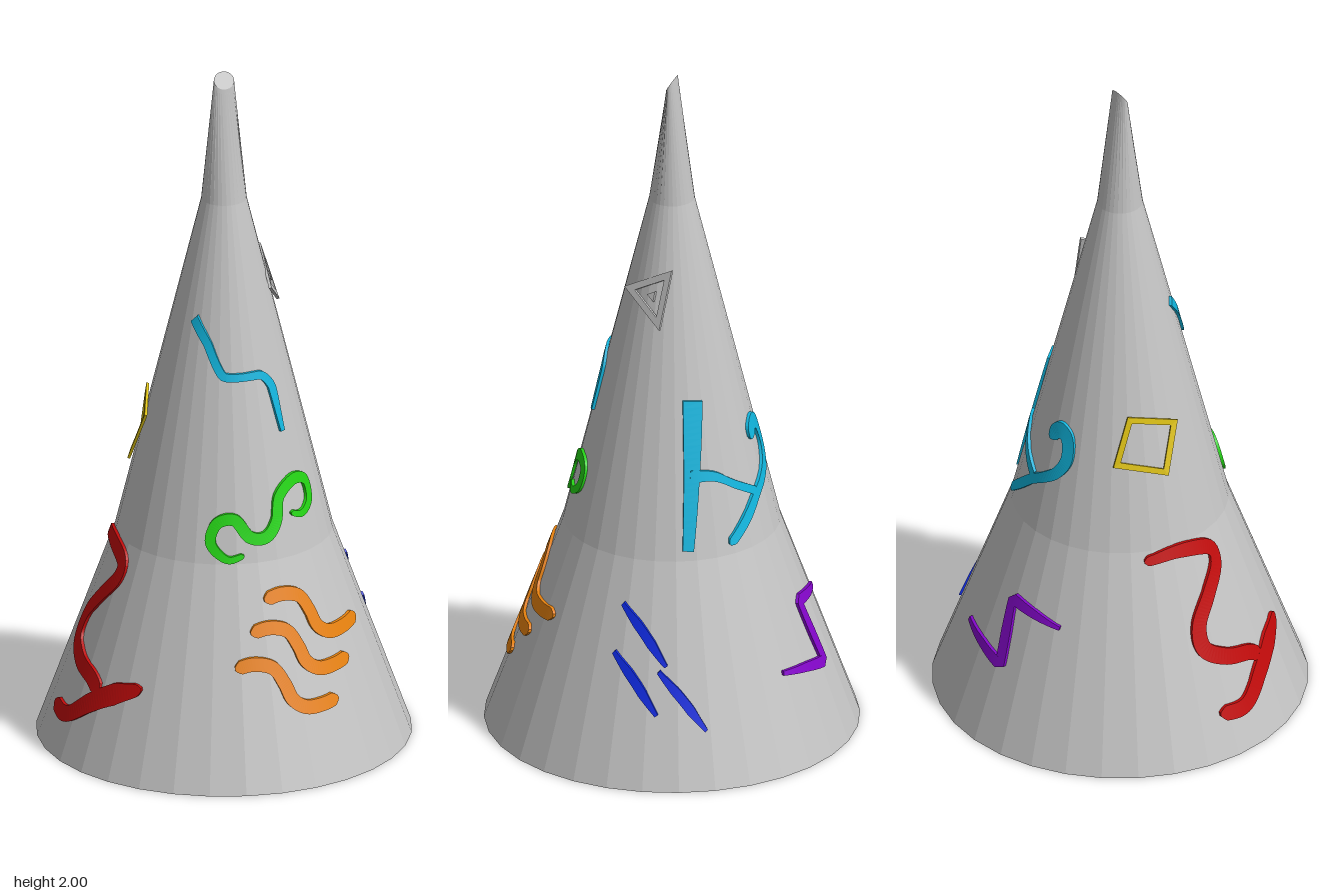
import * as THREE from 'three';

const mat = (name, color) => {
  const m = new THREE.MeshStandardMaterial({ color, flatShading: true });
  m.name = name;
  return m;
};

// Cone profile: [radius, height]
const PROFILE = [[0.535, 0], [0.31, 0.62], [0.065, 1.62], [0.03, 1.978]];
const radiusAt = (y) => {
  for (let i = 1; i < PROFILE.length; i++) {
    const [r0, y0] = PROFILE[i - 1], [r1, y1] = PROFILE[i];
    if (y <= y1) return r0 + (r1 - r0) * (y - y0) / (y1 - y0);
  }
  return 0.03;
};

const deg = Math.PI / 180;
const onCone = (angle, y, lift) => {
  const r = radiusAt(y) + lift;
  return [r * Math.sin(angle), y, r * Math.cos(angle)];
};
// Turns points seen straight on from one side into [degrees, height]
const facing = (centre, pts) => pts.map(([u, y]) =>
  [centre + Math.asin(THREE.MathUtils.clamp(u / (radiusAt(y) + 0.008), -1, 1)) / deg, y]);

// Painted stroke wrapped on the cone; pts are [degrees, height], widths run along the stroke
function stroke(pts, widths, { tension = 0.5, round = true } = {}) {
  const R = radiusAt(pts.reduce((s, p) => s + p[1], 0) / pts.length);
  const path = new THREE.CatmullRomCurve3(
    pts.map(([a, y]) => new THREE.Vector3(a * deg * R, y, 0)), false, 'catmullrom', tension);
  const n = pts.length * 8, length = path.getLength(), pos = [], idx = [];
  for (let i = 0; i <= n; i++) {
    const t = i / n, p = path.getPointAt(t), d = path.getTangentAt(t);
    const f = t * (widths.length - 1), k = Math.min(Math.floor(f), widths.length - 2);
    let h = THREE.MathUtils.lerp(widths[k], widths[k + 1], f - k) / 2;
    if (round) h *= Math.max(0.25, Math.min(1, Math.sqrt(Math.min(t, 1 - t) * length / h)));
    for (const [side, lift] of [[1, 0.008], [-1, 0.008], [-1, -0.001], [1, -0.001]])
      pos.push(...onCone((p.x - d.y * h * side) / R, p.y + d.x * h * side, lift));
    if (i < n) for (let j = 0; j < 4; j++) {
      const a = i * 4 + j, b = i * 4 + (j + 1) % 4;
      idx.push(a, b, b + 4, a, b + 4, a + 4);
    }
  }
  const e = n * 4;
  idx.push(0, 3, 2, 0, 2, 1, e, e + 1, e + 2, e, e + 2, e + 3);
  return buffer(pos, idx);
}

function buffer(pos, idx) {
  const g = new THREE.BufferGeometry();
  g.setAttribute('position', new THREE.Float32BufferAttribute(pos, 3));
  g.setIndex(idx);
  g.computeVertexNormals();
  return g;
}

// Flat polygon frame; corners run counter-clockwise seen from outside
function frame(corners, inner, outer = 1, depth = 0.008) {
  const v = corners.map((c) => new THREE.Vector3(...c)), n = v.length;
  const mid = v.reduce((s, p) => s.add(p), new THREE.Vector3()).divideScalar(n);
  const normal = v[1].clone().sub(v[0]).cross(v[2].clone().sub(v[0])).normalize();
  const pos = [], idx = [];
  // rings: front outer, front inner, back inner, back outer
  for (const [s, back] of [[outer, 0], [inner, 0], [inner, 1], [outer, 1]])
    for (const p of v)
      pos.push(...mid.clone().lerp(p, s).addScaledVector(normal, -depth * back).toArray());
  for (let k = 0; k < 4; k++) for (let i = 0; i < n; i++) {
    const j = (i + 1) % n, q = ((k + 1) % 4) * n;
    idx.push(k * n + i, k * n + j, q + j, k * n + i, q + j, q + i);
  }
  return buffer(pos, idx);
}

export function createModel() {
  const model = new THREE.Group();
  const grey = mat('grey', 0xc4c4c4), cyan = mat('cyan', 0x10b4dc), green = mat('green', 0x24d414);
  const orange = mat('orange', 0xe8820e), blue = mat('blue', 0x0c28dc), purple = mat('purple', 0x8206c8);
  const red = mat('red', 0xc00a0a), yellow = mat('yellow', 0xdcc014);
  const add = (name, geometry, material) => {
    const m = new THREE.Mesh(geometry, material);
    m.name = name;
    model.add(m);
  };

  // Cone with a slanted, squashed tip
  const cone = new THREE.LatheGeometry(
    [[0, 0], ...PROFILE, [0, 1.978]].map(([x, y]) => new THREE.Vector2(x, y)), 32);
  const p = cone.attributes.position;
  for (let i = 0; i < p.count; i++) if (p.getY(i) > 1.9) {
    const z = p.getZ(i) * 0.45;
    p.setZ(i, z);
    p.setY(i, p.getY(i) - 1.65 * z);
  }
  cone.computeVertexNormals();
  add('cone', cone, grey);

  // Front: bent line, curl and three waves
  add('bentLine', stroke(facing(0, [[-0.12, 1.3], [-0.095, 1.235], [-0.06, 1.145], [0.05, 1.14],
    [0.085, 1.1], [0.11, 0.97]]), [0.03, 0.025, 0.022, 0.025, 0.012], { tension: 0.25, round: false }), cyan);
  add('curl', stroke(facing(0, [[-0.04, 0.645], [-0.09, 0.635], [-0.13, 0.68], [-0.11, 0.735], [-0.06, 0.745],
    [-0.02, 0.695], [0.03, 0.69], [0.065, 0.73], [0.08, 0.795], [0.13, 0.83], [0.175, 0.815], [0.185, 0.76],
    [0.155, 0.73], [0.115, 0.74]]), [0.015, 0.03, 0.034, 0.034, 0.034, 0.03, 0.015]), green);
  for (const [dx, dy] of [[0, 0], [-0.05, -0.085], [-0.105, -0.178]])
    add('wave', stroke(facing(0, [[0.005, 0.52], [0.06, 0.53], [0.115, 0.515], [0.145, 0.47], [0.165, 0.425],
      [0.205, 0.398], [0.26, 0.395], [0.312, 0.402]].map(([x, y]) => [x + dx, y + dy])), [0.036, 0.04, 0.036]), orange);

  // Right side: three slanted dashes
  for (const [u, y] of [[-0.015, 0.5], [-0.025, 0.368], [0.112, 0.325]])
    add('dash', stroke(facing(90, [[u, y], [u + 0.072, y - 0.073], [u + 0.145, y - 0.16]]),
      [0.012, 0.026, 0.026, 0.01], { round: false }), blue);

  // Rear right: tapered bar with a branching hook
  add('bar', stroke([[127, 1.07], [123, 0.86], [119, 0.65]], [0.07, 0.045, 0.026], { round: false }), cyan);
  add('branch', stroke([[122, 0.86], [138, 0.85], [153, 0.81], [168, 0.77]], [0.035, 0.022, 0.024], { round: false }), cyan);
  add('hook', stroke([[176, 0.91], [184, 0.945], [192, 0.93], [194, 0.87], [188, 0.82], [178, 0.785],
    [168, 0.755], [155, 0.7], [143, 0.65]], [0.05, 0.045, 0.035, 0.028, 0.03, 0.025]), cyan);

  // Back: zigzag
  add('zigzag', stroke([[156, 0.27], [169, 0.255], [182, 0.235], [180.5, 0.33], [179, 0.42], [192, 0.41], [205, 0.395]],
    [0.012, 0.025, 0.032, 0.036, 0.032, 0.025, 0.01], { tension: 0.08, round: false }), purple);

  // Left side: scribble and square frame
  add('scribble', stroke([[243, 0.595], [262, 0.605], [280, 0.58], [282, 0.53], [273, 0.46], [265, 0.39],
    [265, 0.32], [274, 0.275], [285, 0.25], [291, 0.22]], [0.025, 0.04, 0.045, 0.045, 0.045, 0.04]), red);
  add('scribbleTail', stroke([[310, 0.265], [298, 0.23], [288, 0.185], [277, 0.125], [266, 0.13]],
    [0.03, 0.06, 0.055, 0.045, 0.04]), red);
  add('squareFrame', frame([[-0.19, 0.88, -0.18], [-0.274, 0.84, -0.046], [-0.242, 0.99, 0.014],
    [-0.19, 1.03, -0.127]], 0.78), yellow);

  // Upper right: triangle frame with a small centre
  const tri = [[0.108, 1.37, 0.105], [0.174, 1.28, -0.025], [0.124, 1.45, -0.045]];
  add('triangleFrame', frame(tri, 0.62), grey);
  add('triangleCentre', frame(tri, 0.01, 0.17), grey);
  return model;
}
